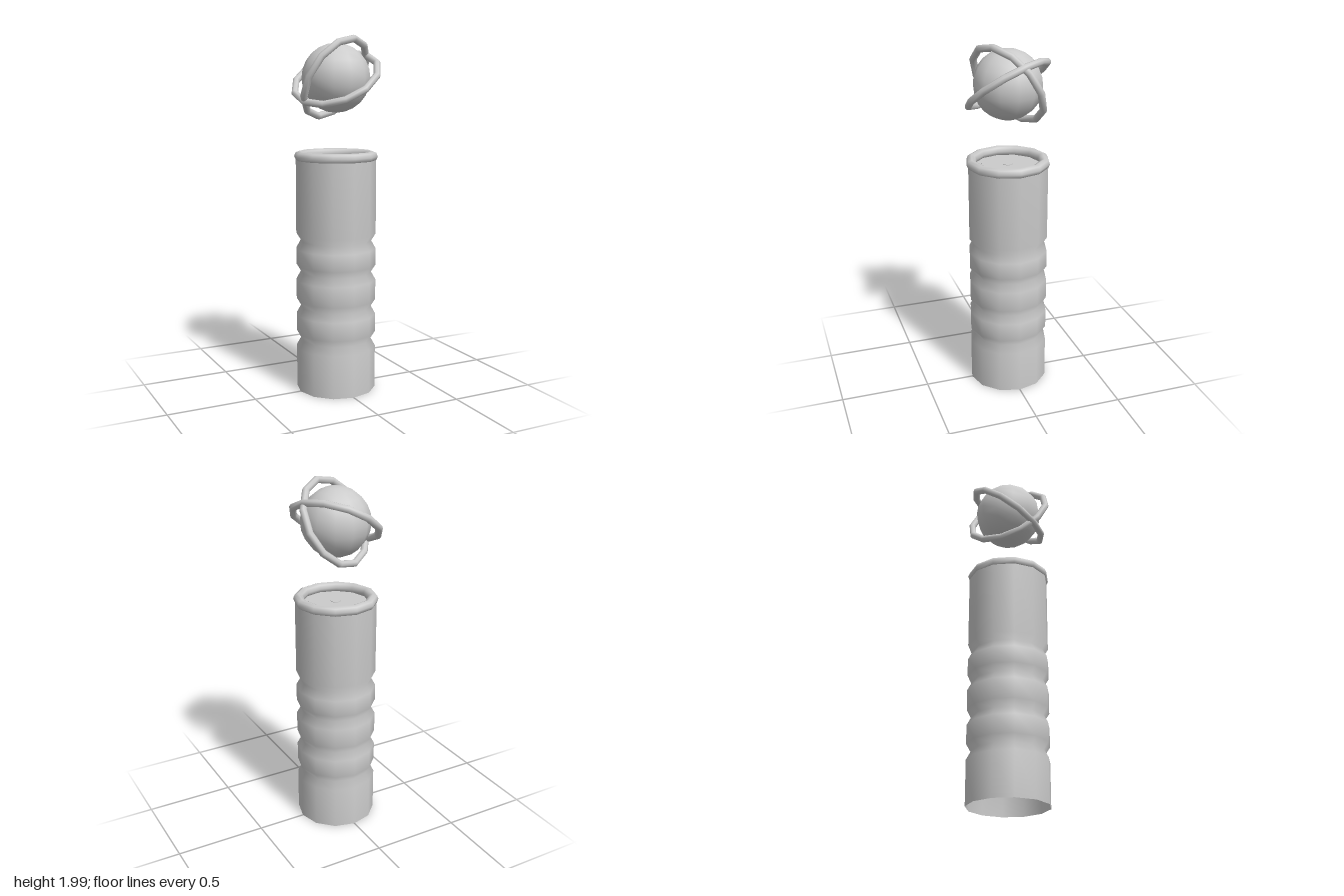
import * as THREE from 'three';

const material = new THREE.MeshStandardMaterial({ color: 0xcccccc });
const doubleSided = new THREE.MeshStandardMaterial({ color: 0xcccccc, side: THREE.DoubleSide });
const SIDES = 12;

function addMesh(parent, name, geometry, mat = material) {
  const mesh = new THREE.Mesh(geometry, mat);
  mesh.name = name;
  parent.add(mesh);
  return mesh;
}

const lathe = (points) =>
  new THREE.LatheGeometry(points.map(([r, y]) => new THREE.Vector2(r, y)), SIDES);

// Tilted ring: normal gives its plane, start the direction of its first corner
function addOrbitRing(parent, name, normal, start) {
  const n = new THREE.Vector3(...normal).normalize();
  const u = new THREE.Vector3(...start).projectOnPlane(n).normalize();
  const v = new THREE.Vector3().crossVectors(n, u);
  const ring = addMesh(parent, name, new THREE.TorusGeometry(0.24, 0.02, 8, SIDES));
  ring.quaternion.setFromRotationMatrix(new THREE.Matrix4().makeBasis(u, v, n));
}

export function createModel() {
  const model = new THREE.Group();
  model.name = 'ringedOrbHandle';

  // Hollow grip, open at the bottom, with four finger grooves
  const R = 0.225;
  const profile = [[R, 0]];
  for (const y of [0.29, 0.48, 0.68, 0.86]) {
    profile.push([R, y - 0.045], [0.2, y], [R, y + 0.04]);
  }
  profile.push([R, 1.34]);
  addMesh(model, 'grip', lathe(profile), doubleSided);

  // Rounded lip at the top
  const rim = addMesh(model, 'rim', new THREE.TorusGeometry(0.205, 0.029, 8, SIDES));
  rim.rotation.x = Math.PI / 2;
  rim.position.y = 1.335;

  // Recessed emitter plate with a small raised centre
  addMesh(model, 'emitterPlate', lathe([[0.21, 1.315], [0.16, 1.315], [0, 1.315]]), doubleSided);
  addMesh(model, 'emitterDisc', new THREE.CylinderGeometry(0.15, 0.15, 0.01, SIDES))
    .position.y = 1.317;
  addMesh(model, 'emitterCentre', new THREE.CylinderGeometry(0.028, 0.028, 0.01, SIDES))
    .position.y = 1.32;

  // Floating orb with two tilted rings
  const orb = new THREE.Group();
  orb.name = 'floatingOrb';
  orb.position.y = 1.765;
  model.add(orb);
  addMesh(orb, 'ball', new THREE.SphereGeometry(0.19, SIDES, 12));
  addOrbitRing(orb, 'steepRing', [-0.386, 0.48, -0.787], [-0.16, 0.117, 0.15]);
  addOrbitRing(orb, 'shallowRing', [0.47, -0.81, -0.35], [0.066, -0.058, 0.222]);

  return model;
}
